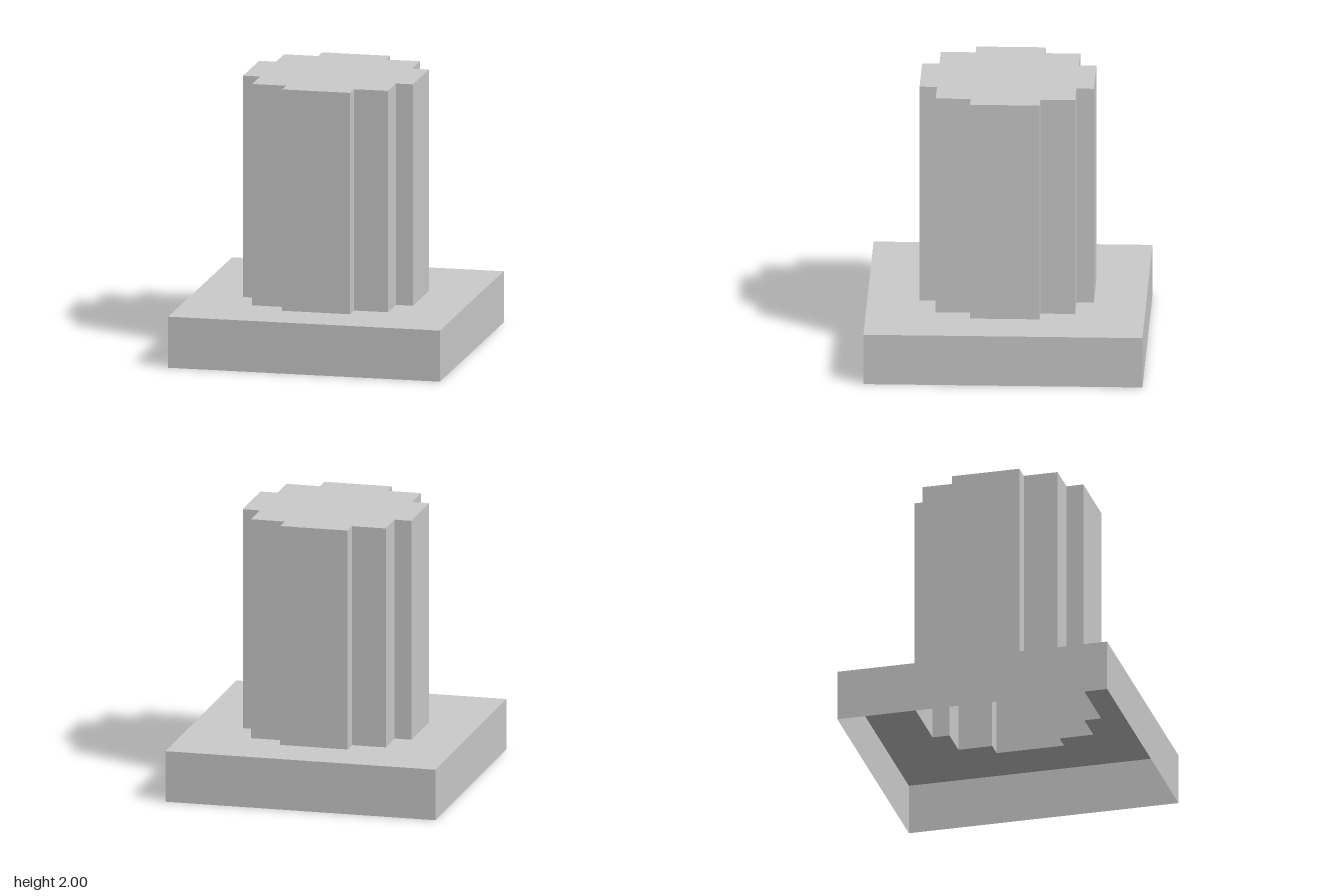
import * as THREE from 'three';

const material = new THREE.MeshStandardMaterial({ color: 0xcccccc, side: THREE.DoubleSide, flatShading: true });

// Turns one side of an outline through four quarter turns (counter-clockwise)
function fourFold(side) {
  const points = [];
  for (let turn = 0; turn < 4; turn++) {
    for (const [px, py] of side) {
      let x = px, y = py;
      for (let i = 0; i < turn; i++) [x, y] = [-y, x];
      points.push(new THREE.Vector2(x, y));
    }
  }
  return points;
}

// Open, thin walls standing on an outline
function wallGeometry(outline, height) {
  const positions = [];
  outline.forEach((a, i) => {
    const b = outline[(i + 1) % outline.length];
    positions.push(
      a.x, a.y, 0, b.x, b.y, 0, b.x, b.y, height,
      a.x, a.y, 0, b.x, b.y, height, a.x, a.y, height
    );
  });
  const geometry = new THREE.BufferGeometry();
  geometry.setAttribute('position', new THREE.Float32BufferAttribute(positions, 3));
  geometry.computeVertexNormals();
  return geometry;
}

export function createModel() {
  const group = new THREE.Group();
  group.name = 'steppedColumn';
  const baseHeight = 0.375;
  const columnHeight = 1.625;

  const baseOutline = fourFold([[1, 1]]);
  const columnOutline = fourFold([
    [0.625, -0.25], [0.625, 0.25], [0.5, 0.25], [0.5, 0.5], [0.25, 0.5],
  ]);

  // Lay each part flat so its extrusion runs upward
  function add(name, geometry, y) {
    geometry.rotateX(-Math.PI / 2);
    const mesh = new THREE.Mesh(geometry, material);
    mesh.name = name;
    mesh.position.y = y;
    group.add(mesh);
  }

  // Hollow plinth, open below, with an opening up into the column
  const baseTop = new THREE.Shape(baseOutline);
  baseTop.holes.push(new THREE.Path(columnOutline));
  add('baseWalls', wallGeometry(baseOutline, baseHeight), 0);
  add('baseTop', new THREE.ShapeGeometry(baseTop), baseHeight);

  // Hollow column with stepped corners and a closed top
  add('columnWalls', wallGeometry(columnOutline, columnHeight), baseHeight);
  add('columnTop', new THREE.ShapeGeometry(new THREE.Shape(columnOutline)), baseHeight + columnHeight);

  return group;
}
